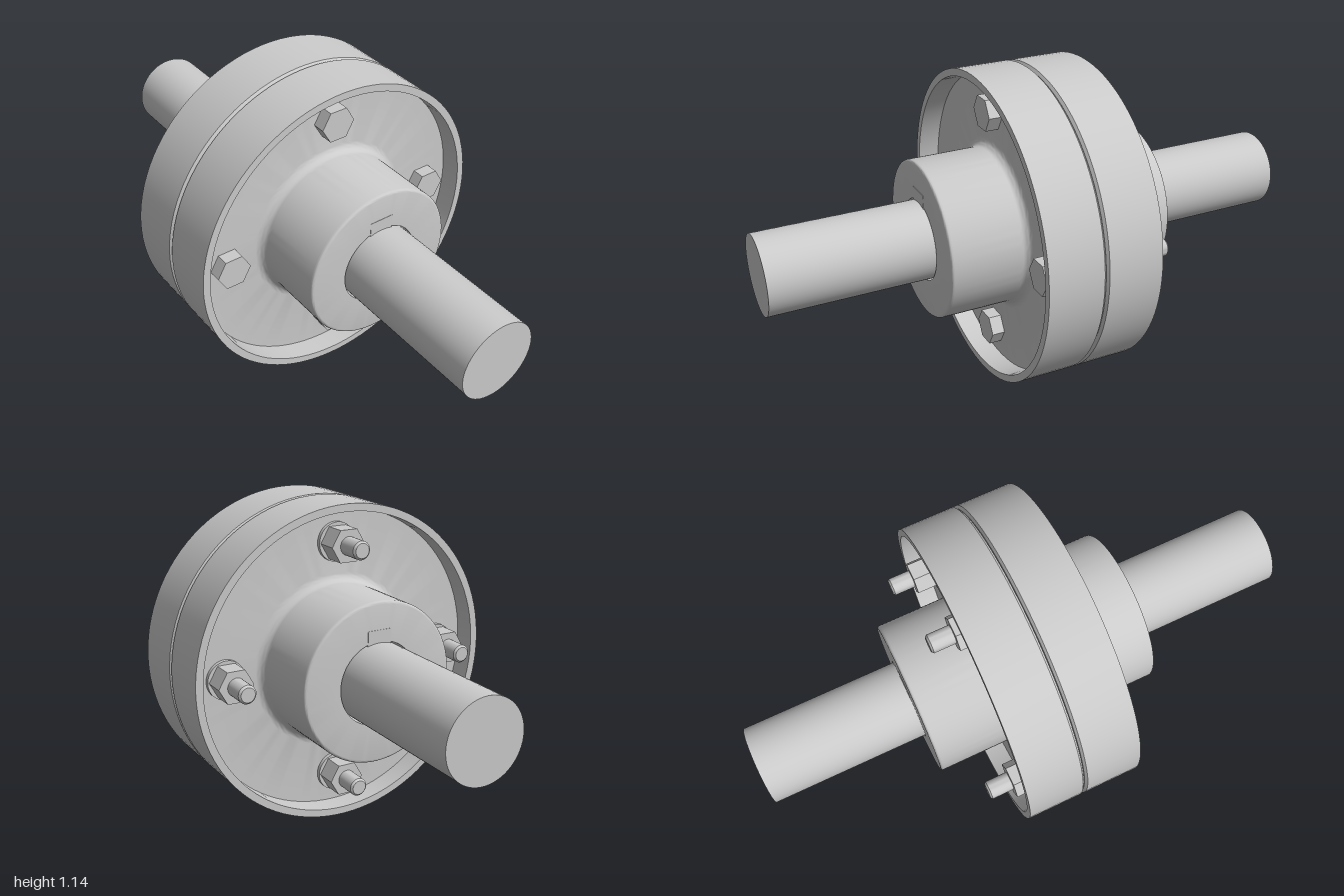
import * as THREE from 'three';
import { toCreasedNormals } from 'three/addons/utils/BufferGeometryUtils.js';

const AXIS_Y = 0.572;   // height of the shaft axis
const SEAM_X = -0.003;  // joint between the two halves
const SHAFT_R = 0.143, BORE_R = 0.148, HUB_R = 0.285, FLANGE_R = 0.572;
const BOLT_CIRCLE = 0.43;

export function createModel() {
  const root = new THREE.Group();
  root.name = 'flangedCoupling';
  const assembly = new THREE.Group();
  assembly.name = 'couplingAssembly';
  assembly.position.y = AXIS_Y;
  root.add(assembly);

  const grey = new THREE.MeshStandardMaterial({ color: 0xcccccc });

  function add(parent, name, geometry) {
    const mesh = new THREE.Mesh(toCreasedNormals(geometry, 0.5), grey);
    mesh.name = name;
    parent.add(mesh);
    return mesh;
  }

  // Revolve a [radius, distance] profile about the x axis; side -1 faces it to -x
  function turned(profile, side = 1, segments = 96) {
    const points = profile.map(([r, d]) => new THREE.Vector2(r, d));
    return new THREE.LatheGeometry(points, segments).rotateZ(-side * Math.PI / 2);
  }

  // Cylinder or prism along x from x0 to x1
  function bar(radius, x0, x1, sides) {
    return new THREE.CylinderGeometry(radius, radius, x1 - x0, sides)
      .rotateZ(-Math.PI / 2).translate((x0 + x1) / 2, 0, 0);
  }

  // Flange half: rim, recessed web, filleted hub and bore
  const web = 0.133, rim = 0.213, hubEnd = 0.425, fillet = 0.035;
  const profile = [
    [BORE_R, 0.001], [FLANGE_R - 0.01, 0.001], [FLANGE_R, 0.009],
    [FLANGE_R, rim], [FLANGE_R - 0.027, rim], [FLANGE_R - 0.027, web],
  ];
  for (let i = 0; i <= 8; i++) {
    const a = (i / 8) * Math.PI / 2;
    profile.push([HUB_R + fillet * (1 - Math.sin(a)), web + fillet * (1 - Math.cos(a))]);
  }
  for (let i = 0; i <= 4; i++) {
    const a = (i / 4) * Math.PI / 2;
    profile.push([HUB_R - 0.01 + 0.01 * Math.cos(a), hubEnd - 0.01 + 0.01 * Math.sin(a)]);
  }
  profile.push([BORE_R, hubEnd], [BORE_R, 0.001]);

  for (const side of [1, -1]) {
    const label = side > 0 ? 'left' : 'right';
    add(assembly, label + 'FlangeHub', turned(profile, side)).position.x = SEAM_X;

    // Shaft and the key that locks it to its hub
    const shaft = side > 0 ? [0.01, 1] : [-1, -0.016];
    add(assembly, label + 'Shaft', bar(SHAFT_R, ...shaft, 64));
    add(assembly, label + 'Key', new THREE.BoxGeometry(0.41, 0.115, 0.09))
      .position.set(SEAM_X + side * 0.221, 0.13, 0);
  }

  // Four bolts: head on the left half, washer, nut and stud end on the right half
  for (let i = 0; i < 4; i++) {
    const a = i * Math.PI / 2;
    const bolt = new THREE.Group();
    bolt.name = 'bolt' + (i + 1);
    bolt.position.set(0, BOLT_CIRCLE * Math.cos(a), BOLT_CIRCLE * Math.sin(a));
    assembly.add(bolt);

    add(bolt, 'boltHead', bar(0.065, 0.13, 0.178, 6));
    add(bolt, 'washer', bar(0.07, -0.151, -0.136, 32));
    add(bolt, 'nut', bar(0.065, -0.228, -0.151, 6));
    add(bolt, 'boltShank', turned(
      [[0, -0.13], [0.033, -0.13], [0.033, 0.308], [0.026, 0.315], [0, 0.315]], -1, 32));
  }

  return root;
}
